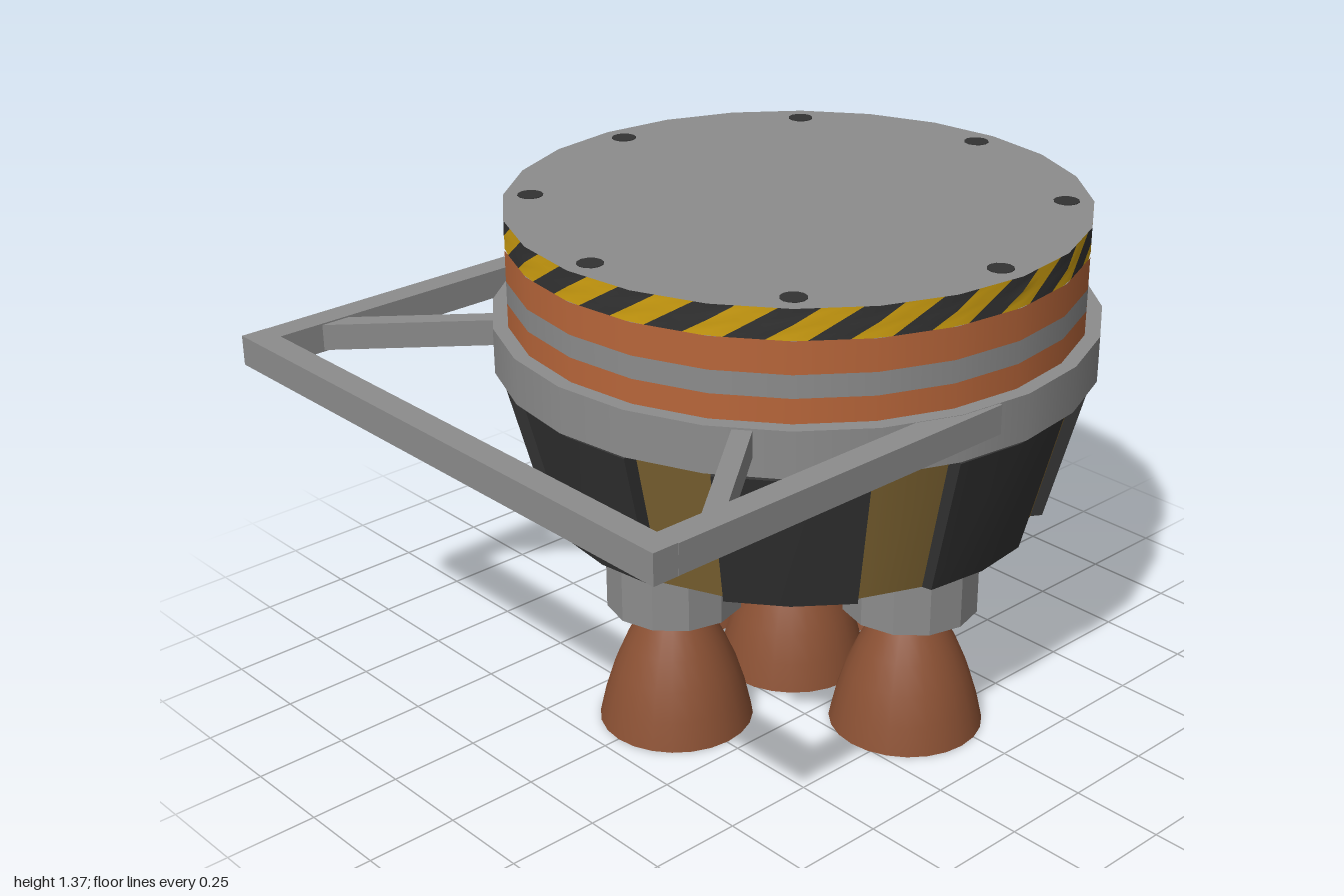
import * as THREE from 'three';

const mat = (name, color, extra = {}) =>
  Object.assign(new THREE.MeshStandardMaterial({ color, ...extra }), { name });

export function createModel() {
  const grey = mat('grey metal', 0x8c8c8c);
  const greyFlat = mat('grey metal faceted', 0x8c8c8c, { flatShading: true });
  const copper = mat('copper', 0xb8663a);
  const brown = mat('bell brown', 0x8b5134, { side: THREE.DoubleSide });
  const dark = mat('dark panel', 0x333333);
  const gold = mat('dull gold', 0x836834);
  const yellow = mat('hazard yellow', 0xd0a010);

  const root = new THREE.Group();
  root.name = 'engineSection';
  const body = new THREE.Group();
  body.name = 'body';
  body.position.x = 0.195;
  root.add(body);

  const add = (parent, name, geo, material, x = 0, y = 0, z = 0) => {
    const m = new THREE.Mesh(geo, material);
    m.name = name;
    m.position.set(x, y, z);
    parent.add(m);
    return m;
  };
  // cylinder given by its bottom and top heights
  const drum = (parent, name, rBottom, rTop, y0, y1, material, sides = 24, x = 0, z = 0, open = false) =>
    add(parent, name, new THREE.CylinderGeometry(rTop, rBottom, y1 - y0, sides, 1, open), material, x, (y0 + y1) / 2, z);

  // Upper drum with its coloured bands
  drum(body, 'lowerCopperBand', 0.765, 0.765, 1.08, 1.145, copper, 24, 0, 0, true);
  drum(body, 'greyBand', 0.765, 0.765, 1.145, 1.205, grey, 24, 0, 0, true);
  drum(body, 'upperCopperBand', 0.765, 0.765, 1.205, 1.29, copper, 24, 0, 0, true);
  add(body, 'topPlate', new THREE.CircleGeometry(0.765, 24).rotateX(-Math.PI / 2), grey, 0, 1.37, 0);

  // Slanted hazard stripes: a band sheared around its axis, kept on the 24-sided drum
  const step = Math.PI / 12, rows = 4, cols = 96, h = 0.08;
  const band = new THREE.CylinderGeometry(0.765, 0.765, h, cols, rows, true);
  const p = band.attributes.position;
  for (let i = 0; i < p.count; i++) {
    const y = p.getY(i);
    const a = Math.atan2(p.getX(i), p.getZ(i)) + (y / h) * 0.17;
    const local = ((a % step) + step) % step - step / 2;
    const r = 0.765 * Math.cos(step / 2) / Math.cos(local);
    p.setXYZ(i, r * Math.sin(a), y, r * Math.cos(a));
  }
  band.computeVertexNormals();
  band.clearGroups();
  for (let c = 0; c < cols; c += 2) band.addGroup(c * rows * 6, 2 * rows * 6, (c / 2) % 2);
  add(body, 'hazardStripes', band, [yellow, dark], 0, 1.33, 0);

  // Bolts on the top plate
  for (let i = 0; i < 8; i++) {
    const a = i * Math.PI / 4;
    drum(body, 'topBolt', 0.034, 0.034, 1.368, 1.372, dark, 12, 0.694 * Math.sin(a), 0.694 * Math.cos(a));
  }

  // Collar and tapered skirt
  drum(body, 'collarRing', 0.805, 0.805, 0.955, 1.08, grey);
  drum(body, 'skirtCore', 0.655, 0.757, 0.542, 0.956, gold);

  // Bevelled skirt panels: a box wrapped around the cone
  const panel = new THREE.BoxGeometry(1, 1, 1, 2, 1, 1);
  const q = panel.attributes.position;
  for (let i = 0; i < q.count; i++) {
    const outer = q.getZ(i) > 0, top = q.getY(i) > 0;
    const a = q.getX(i) * (Math.PI / 6) * (outer ? 0.94 : 1);
    const y = top ? (outer ? 0.94 : 0.955) : (outer ? 0.545 : 0.54);
    const r = (outer ? 0.685 : 0.645) + (top ? 0.102 : 0);
    q.setXYZ(i, r * Math.sin(a), y, r * Math.cos(a));
  }
  panel.computeVertexNormals();
  for (let i = 0; i < 8; i++) add(body, 'skirtPanel', panel, dark).rotation.y = i * Math.PI / 4;

  // Five engines: one central, four around it
  const profile = [[0.208, 0], [0.19, 0.08], [0.165, 0.16], [0.133, 0.235], [0.1, 0.3], [0.066, 0.36]]
    .map(([r, y]) => new THREE.Vector2(r, y));
  const bell = new THREE.LatheGeometry(profile, 24);
  for (const [x, z] of [[0, 0], [0.44, 0], [-0.44, 0], [0, 0.44], [0, -0.44]]) {
    const engine = new THREE.Group();
    engine.name = 'engine';
    engine.position.set(x, 0, z);
    body.add(engine);
    drum(engine, 'engineMount', 0.183, 0.183, 0.355, 0.545, greyFlat, 12);
    add(engine, 'engineBell', bell, brown);
  }

  // Side frame with diagonal braces
  const frame = new THREE.Group();
  frame.name = 'sideFrame';
  root.add(frame);
  add(frame, 'frameEndBar', new THREE.BoxGeometry(0.07, 0.08, 1.6), grey, -0.965, 1.04, 0);
  for (const s of [1, -1]) {
    add(frame, 'frameSideBar', new THREE.BoxGeometry(1.03, 0.078, 0.07), grey, -0.415, 1.04, s * 0.766);
    const dx = 0.4, dz = -0.32 * s;
    const brace = add(frame, 'frameBrace', new THREE.BoxGeometry(Math.hypot(dx, dz), 0.07, 0.05), grey,
      -0.6, 1.04, s * 0.6);
    brace.rotation.y = -Math.atan2(dz, dx);
  }
  return root;
}
